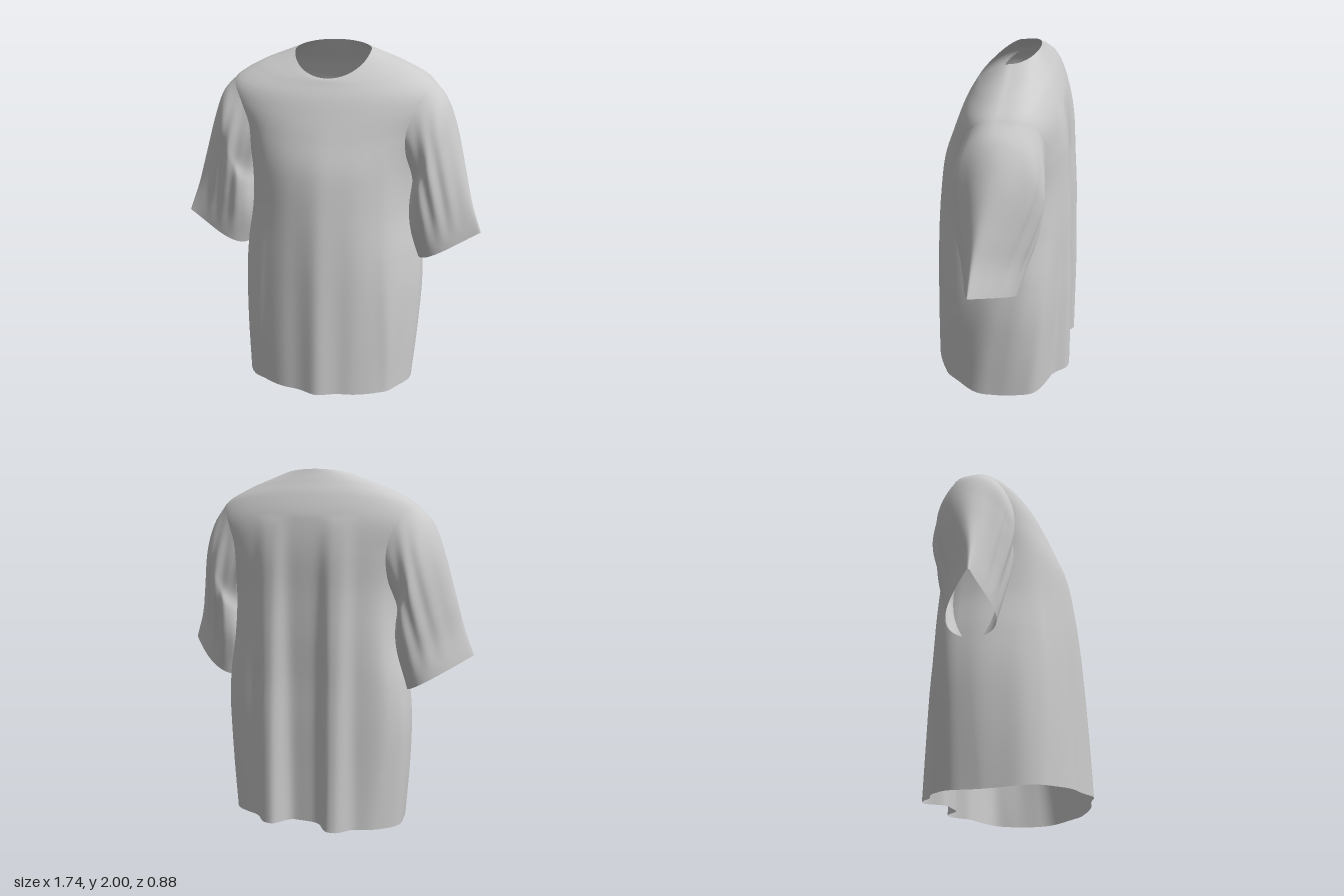
import * as THREE from 'three';

const material = new THREE.MeshStandardMaterial({ color: 0xcccccc, side: THREE.DoubleSide });

// Catmull-Rom interpolation through rows of numbers, t in 0..rows-1
function spline(rows, t) {
  const n = rows.length - 1;
  const i = Math.min(Math.floor(t), n - 1), f = t - i;
  const b = rows[i], c = rows[i + 1];
  const a = rows[i - 1] ?? b.map((v, k) => 2 * v - c[k]);
  const d = rows[i + 2] ?? c.map((v, k) => 2 * v - b[k]);
  return b.map((p, k) => p + 0.5 * f * (c[k] - a[k]
    + f * (2 * a[k] - 5 * p + 4 * c[k] - d[k] + f * (3 * (p - c[k]) + d[k] - a[k]))));
}

// Closed loops joined into a smooth open tube
function loft(name, around, along, point, flip, skip = () => false) {
  const pos = [], index = [];
  for (let j = 0; j <= along; j++)
    for (let i = 0; i < around; i++) pos.push(...point((i / around) * Math.PI * 2, j / along));
  for (let j = 0; j < along; j++) {
    for (let i = 0; i < around; i++) {
      if (skip(((i + 0.5) / around) * Math.PI * 2, (j + 0.5) / along)) continue;
      const a = j * around + i, b = j * around + ((i + 1) % around);
      const c = a + around, d = b + around;
      if (flip) index.push(a, b, c, b, d, c);
      else index.push(a, c, b, b, c, d);
    }
  }
  const g = new THREE.BufferGeometry();
  g.setAttribute('position', new THREE.Float32BufferAttribute(pos, 3));
  g.setIndex(index);
  g.computeVertexNormals();
  const mesh = new THREE.Mesh(g, material);
  mesh.name = name;
  return mesh;
}

const bump = (x, centre, width, power = 2) => Math.exp(-(Math.abs((x - centre) / width) ** power));

// Body loops from hem to neckline:
// y front, y side, y back, half width, z front, z back, z side, back roundness
const bodyRows = [
  [0.045, 0.005, 0.035, 0.51, 0.42, -0.385, -0.01, 0.55],
  [0.35, 0.35, 0.35, 0.53, 0.41, -0.385, -0.04, 0.53],
  [0.62, 0.62, 0.62, 0.535, 0.4, -0.385, -0.07, 0.52],
  [0.85, 0.85, 0.85, 0.515, 0.39, -0.38, -0.09, 0.5],
  [1.1, 1.1, 1.1, 0.475, 0.37, -0.38, -0.09, 0.5],
  [1.35, 1.35, 1.35, 0.47, 0.335, -0.37, -0.06, 0.48],
  [1.53, 1.55, 1.57, 0.515, 0.275, -0.36, -0.04, 0.48],
  [1.66, 1.7, 1.74, 0.575, 0.225, -0.33, -0.04, 0.5],
  [1.74, 1.8, 1.86, 0.56, 0.19, -0.28, -0.05, 0.6],
  [1.8, 1.88, 1.93, 0.43, 0.155, -0.235, -0.06, 0.7],
  [1.825, 1.93, 1.975, 0.3, 0.14, -0.205, -0.06, 0.75],
  [1.835, 1.965, 2.0, 0.21, 0.13, -0.19, -0.06, 0.8],
];
const top = bodyRows.length - 1;

function bodyPoint(angle, t) {
  const [yF, yS, yB, w, zF, zB, zS, round] = spline(bodyRows, t);
  const c = Math.cos(angle), s = Math.sin(angle), front = s > 0;
  const y = yS + ((front ? yF : yB) - yS) * Math.abs(s) ** 1.2;
  let x = w * c;
  let z = zS + ((front ? zF : zB) - zS) * Math.abs(s) ** (front ? 0.86 : round);
  // Drape folds grow towards the hem
  const drape = THREE.MathUtils.smoothstep(1.75 - y, 0, 1.5);
  if (front) {
    z += drape * (0.02 * bump(x, 0, 0.06) - 0.008 * bump(Math.abs(x), 0.13, 0.06)
      + 0.012 * bump(Math.abs(x), 0.36 + 0.05 * (1 - y), 0.04));
  } else {
    // Two box pleats with a hollow between them
    const pleat = THREE.MathUtils.clamp((1.75 - y) / 1.75, 0, 1) ** 0.7;
    z -= pleat * (0.068 * bump(Math.abs(x), 0.19, 0.075, 3) - 0.04 * bump(x, 0, 0.12, 4));
  }
  x += drape * 0.01 * c * Math.abs(c) * Math.sin(angle * 9 + y * 2) * Math.sign(c);
  return [x, y, z];
}

// Armhole: an ellipse drawn on the body surface
const hole = { level: 6.5, height: 1.6, angle: 0.6 };
function inArmhole(angle, v) {
  const side = Math.asin(Math.sin(angle)) / hole.angle;
  return Math.cos(angle) ** 2 > 0.5
    && side ** 2 + ((v * top - hole.level) / hole.height) ** 2 < 0.8;
}

// Sleeve loops: outer x, y, inner x, y, z front, z back, forward shift of outer edge, pinch
const sleeveRows = [
  [0.635, 1.72, 0.465, 1.24, 0.17, -0.285, 0, 0.12],
  [0.7, 1.56, 0.455, 1.15, 0.165, -0.275, 0.005, 0.25],
  [0.765, 1.32, 0.45, 1.05, 0.13, -0.235, 0.045, 0.45],
  [0.81, 1.15, 0.465, 0.94, 0.1, -0.195, 0.07, 0.6],
  [0.868, 0.99, 0.515, 0.795, 0.075, -0.155, 0.08, 0.72],
];

function sleevePoint(phi, v) {
  const c = Math.cos(phi), s = Math.sin(phi);
  const path = [bodyPoint(hole.angle * s, hole.level + hole.height * c)];
  for (const [ox, oy, ix, iy, zF, zB, shift, pinch] of sleeveRows) {
    path.push([
      (ox + ix) / 2 + ((ox - ix) / 2) * c,
      (oy + iy) / 2 + ((oy - iy) / 2) * c,
      (zF + zB) / 2 + ((zF - zB) / 2) * s * (1 - pinch * c) + shift * ((c + 1) / 2) ** 2,
    ]);
  }
  const [x, y, z] = spline(path, v * (path.length - 1));
  // Gathers run down from the underarm and fade at the cuff
  const gather = Math.sin(Math.PI * Math.min(1, v * 1.05)) * s * s * (1 - 0.6 * THREE.MathUtils.smoothstep(c, 0, 0.8));
  const ripple = 0.009 * gather * Math.sin(x * 75 + y * 16);
  return [x + 0.4 * ripple * c, y, z + ripple * Math.sign(s)];
}

export function createModel() {
  const shirt = new THREE.Group();
  shirt.name = 'shirt';
  shirt.add(loft('body', 220, 120, (a, v) => bodyPoint(a, v * top), false, inArmhole));
  for (const [name, side] of [['leftSleeve', 1], ['rightSleeve', -1]]) {
    shirt.add(loft(name, 96, 64, (a, v) => {
      const [x, y, z] = sleevePoint(a, v);
      return [x * side, y, z];
    }, side > 0));
  }
  return shirt;
}
